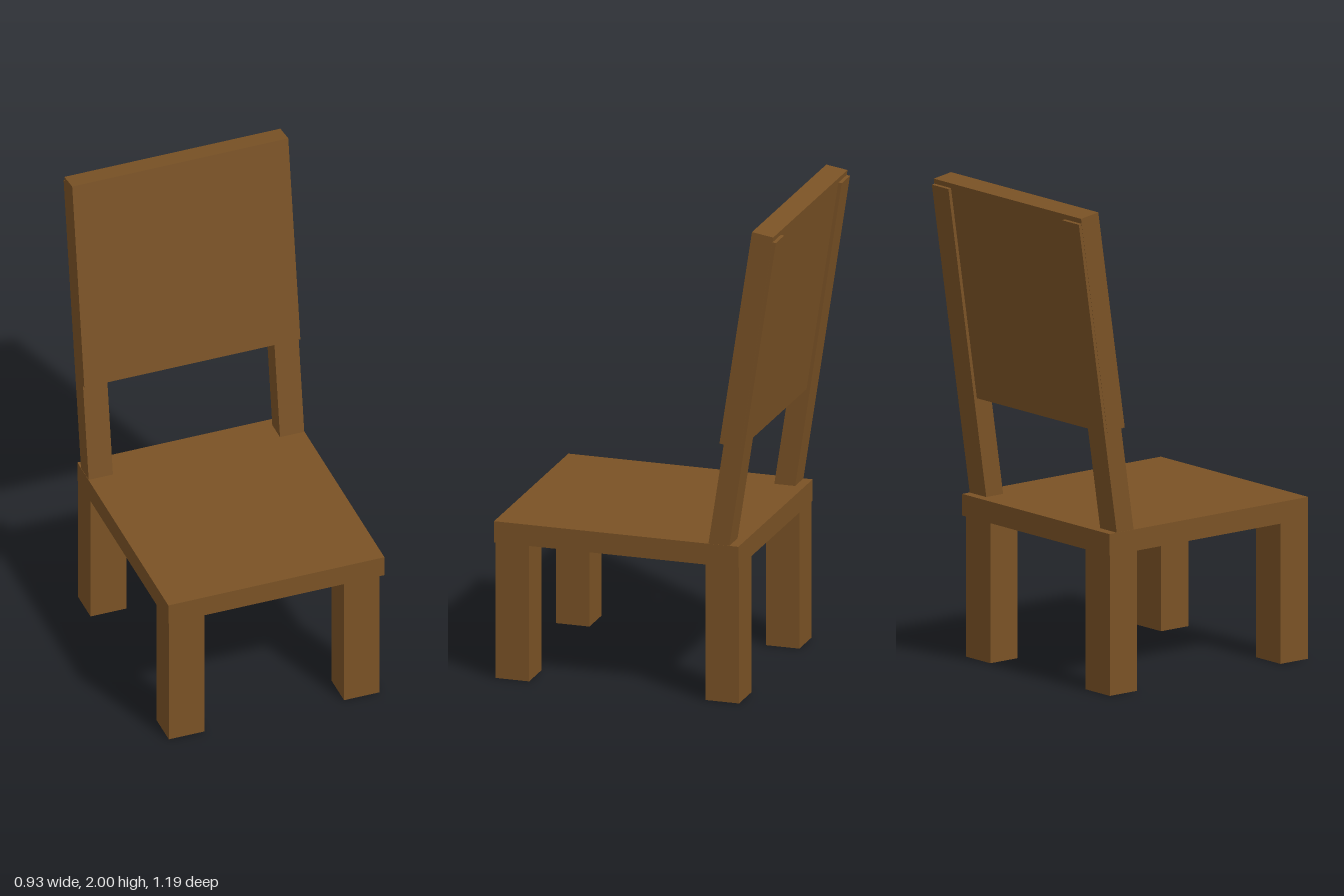
import * as THREE from 'three';

export function createModel() {
  const wood = new THREE.MeshStandardMaterial({ color: 0x7a5225 });
  wood.name = 'brown wood';

  // Box given by its lower and upper limits on each axis
  const box = (name, [x0, x1], [y0, y1], [z0, z1], parent) => {
    const mesh = new THREE.Mesh(new THREE.BoxGeometry(x1 - x0, y1 - y0, z1 - z0), wood);
    mesh.position.set((x0 + x1) / 2, (y0 + y1) / 2, (z0 + z1) / 2);
    mesh.name = name;
    parent.add(mesh);
  };

  const chair = new THREE.Group();
  chair.name = 'chair';

  // Seat slab
  box('seat', [-0.463, 0.463], [0.578, 0.667], [-0.438, 0.597], chair);

  // Four square legs, set slightly off centre
  const legSides = { left: [0.29, 0.443], right: [-0.461, -0.308] };
  const legRows = { front: [0.455, 0.597], back: [-0.434, -0.292] };
  for (const [row, z] of Object.entries(legRows)) {
    for (const [side, x] of Object.entries(legSides)) {
      box(`${row} ${side} leg`, x, [0, 0.578], z, chair);
    }
  }

  // Backrest, leaning backwards from the seat top
  const backrest = new THREE.Group();
  backrest.name = 'backrest';
  backrest.position.set(0, 0.667, -0.311);
  backrest.rotation.x = -0.151;
  chair.add(backrest);
  box('left post', [0.358, 0.462], [-0.03, 1.325], [-0.087, 0], backrest);
  box('right post', [-0.462, -0.358], [-0.03, 1.325], [-0.087, 0], backrest);
  box('back panel', [-0.463, 0.463], [0.43, 1.346], [-0.073, 0.018], backrest);

  return chair;
}
